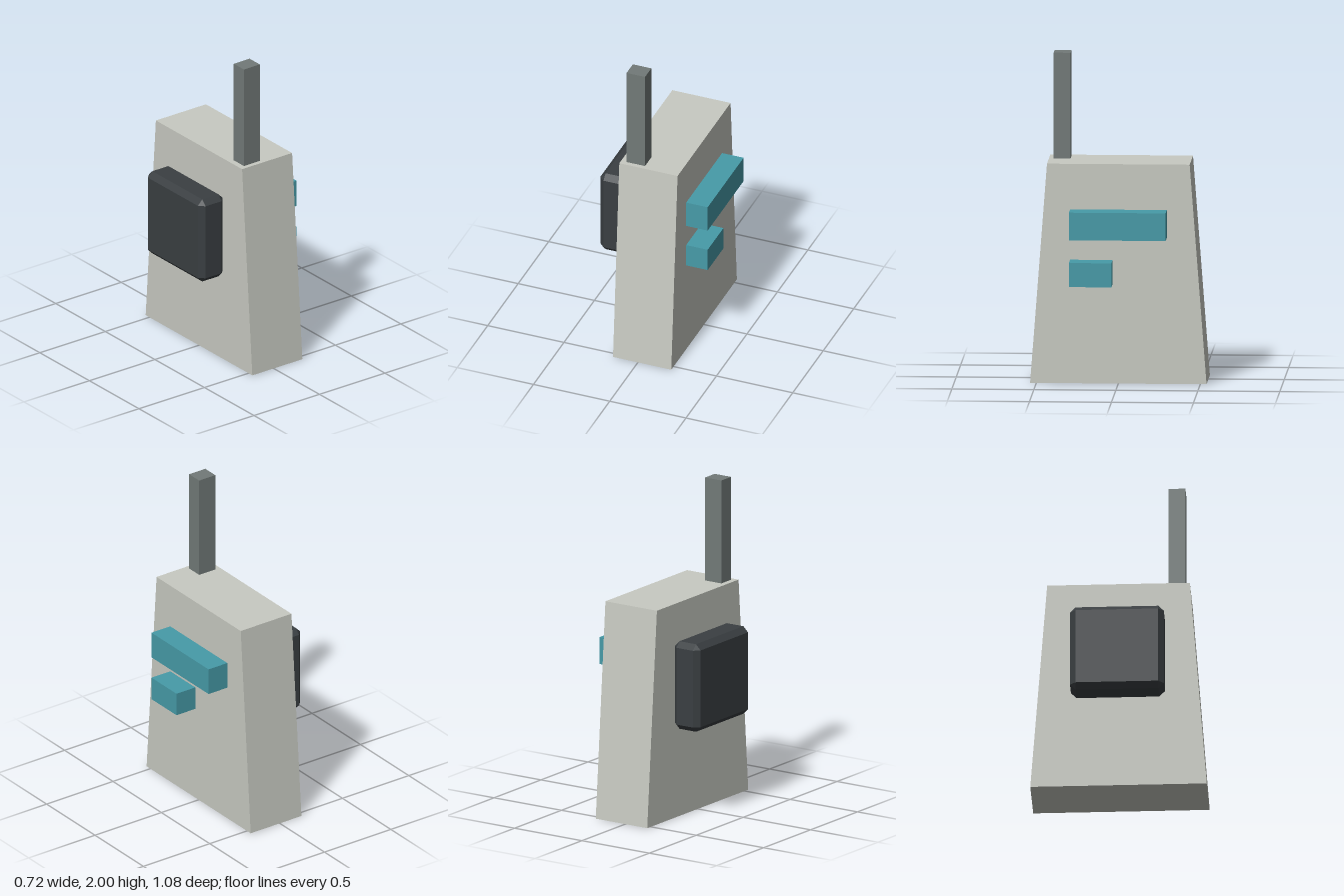
import * as THREE from 'three';
import { ConvexGeometry } from 'three/addons/geometries/ConvexGeometry.js';

const material = (color) => new THREE.MeshStandardMaterial({ color, flatShading: true });
const shell = material(0xc8cac2);
const teal = material(0x479ba8);
const dark = material(0x3a3f42);
const grey = material(0x727a78);

// Box given by its limits on each axis
function block(name, mat, [x0, x1], [y0, y1], [z0, z1]) {
  const mesh = new THREE.Mesh(new THREE.BoxGeometry(x1 - x0, y1 - y0, z1 - z0), mat);
  mesh.position.set((x0 + x1) / 2, (y0 + y1) / 2, (z0 + z1) / 2);
  mesh.name = name;
  return mesh;
}

// Box with every edge and corner cut off by c
function chamferedBox(w, h, d, c) {
  const points = [];
  for (const sx of [-1, 1]) for (const sy of [-1, 1]) for (const sz of [-1, 1]) {
    for (let axis = 0; axis < 3; axis++) {
      const half = [w / 2, h / 2, d / 2].map((v, i) => (i === axis ? v : v - c));
      points.push(new THREE.Vector3(sx * half[0], sy * half[1], sz * half[2]));
    }
  }
  return new ConvexGeometry(points);
}

export function createModel() {
  const model = new THREE.Group();
  model.name = 'handheldRadio';

  // Case: narrows towards the top, front and back
  const body = block('body', shell, [-0.163, 0.219], [0, 1.35], [-0.538, 0.538]);
  const pos = body.geometry.attributes.position;
  for (let i = 0; i < pos.count; i++) {
    if (pos.getY(i) > 0) pos.setZ(i, Math.sign(pos.getZ(i)) * 0.435);
  }
  body.geometry.computeVertexNormals();
  model.add(body);

  // Antenna on the top front corner
  model.add(block('antenna', grey, [-0.127, -0.006], [1.35, 2], [0.303, 0.406]));

  // Raised bars on the left side
  model.add(block('upperBar', teal, [0.219, 0.36], [0.9, 1.07], [-0.296, 0.294]));
  model.add(block('lowerBar', teal, [0.219, 0.36], [0.612, 0.76], [0.035, 0.294]));

  // Chamfered pad on the right side
  const pad = new THREE.Mesh(chamferedBox(0.19, 0.553, 0.572, 0.034), dark);
  pad.name = 'sidePad';
  pad.position.set(-0.266, 0.847, -0.002);
  model.add(pad);

  return model;
}
